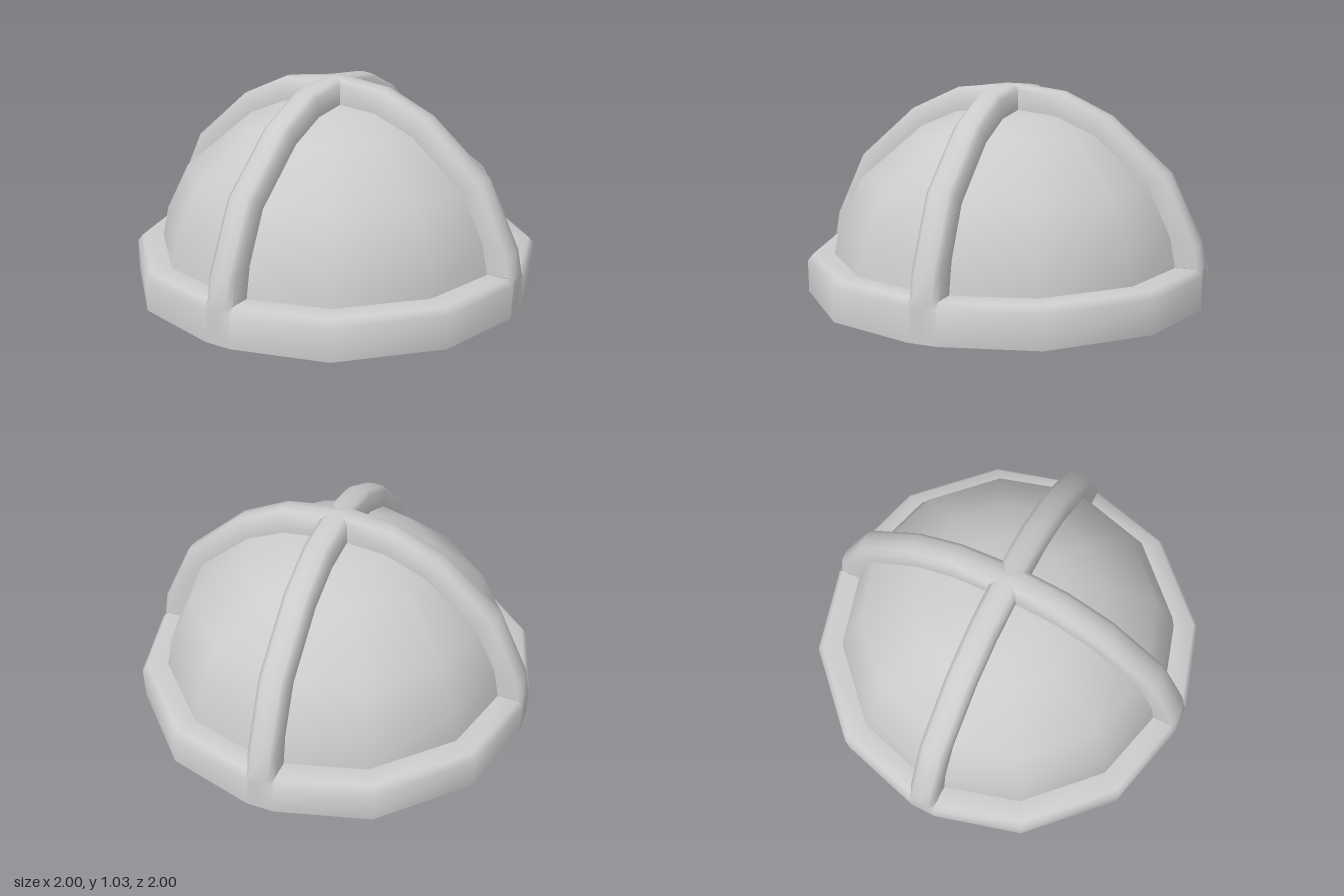
import * as THREE from 'three';
import { mergeGeometries, toCreasedNormals } from 'three/addons/utils/BufferGeometryUtils.js';

const HALF = 0.068; // half width of a rib

const material = new THREE.MeshStandardMaterial({ color: 0xcccccc, side: THREE.DoubleSide });

// Skin over rows of points: rows run upward, columns run rightward seen from outside
function grid(rows) {
  const n = rows[0].length;
  const index = [];
  for (let i = 0; i < rows.length - 1; i++) {
    for (let j = 0; j < n - 1; j++) {
      const a = i * n + j, c = a + n;
      index.push(a, a + 1, c + 1, a, c + 1, c);
    }
  }
  const geometry = new THREE.BufferGeometry();
  geometry.setAttribute('position', new THREE.Float32BufferAttribute(rows.flat(2), 3));
  geometry.setIndex(index);
  return geometry;
}

// Repeat a part four times around the vertical axis
function addFour(group, name, geometry) {
  const creased = toCreasedNormals(geometry, 1.0);
  for (let k = 0; k < 4; k++) {
    const mesh = new THREE.Mesh(creased, material);
    mesh.name = name + (k + 1);
    mesh.rotation.y = k * Math.PI / 2;
    group.add(mesh);
  }
}

// Quarter of a horizontal ring between two neighbouring ribs
const quarterRow = ([r, y]) => [
  [HALF, y, r], [0.508 * r, y, 0.88 * r], [0.88 * r, y, 0.508 * r], [r, y, HALF],
];

export function createModel() {
  const model = new THREE.Group();
  model.name = 'ribbedDome';

  // Profiles as [radius, height], from the rim to the crown
  const inner = [[0.87, 0.19], [0.84, 0.34], [0.73, 0.57], [0.46, 0.8], [0.26, 0.885], [HALF, 0.905]];
  const outer = [[1, 0.195], [0.98, 0.3], [0.82, 0.63], [0.52, 0.89], [0.28, 1.0], [0, 1.03]];
  const rim = [[1, 0], [1, 0.16], [0.974, 0.192], [0.87, 0.19]];

  // Dome panels, each narrowing to a point at the crown
  const panelRows = inner.map(quarterRow);
  panelRows[panelRows.length - 1] = Array.from({ length: 4 }, () => [HALF, 0.905, HALF]);
  addFour(model, 'domePanel', grid(panelRows));

  // Rim wall with its bevelled ledge
  addFour(model, 'rimSection', grid(rim.map(quarterRow)));

  // Hollow ribs: [sideways offset, blend from outer to inner profile]
  const section = [
    [-HALF, 1], [-HALF, 0.2], [-0.045, 0.04], [0, 0], [0.045, 0.04], [HALF, 0.2], [HALF, 1],
  ];
  const last = outer.length - 1;
  const ribRows = outer.map(([ro, yo], i) => section.map(([x, t]) => {
    const r = THREE.MathUtils.lerp(ro, inner[i][0], t);
    const y = THREE.MathUtils.lerp(yo, inner[i][1], t);
    // the final row is mitred so the four ribs join at the crown
    return [x, y, i === last ? Math.abs(x) : r];
  }));
  // Rib foot, flush with the rim wall
  const footRows = [0, 0.16].map((y) => section.slice(1, -1).map(([x]) => [x, y, 1]));
  footRows.push(ribRows[0].slice(1, -1));
  addFour(model, 'rib', mergeGeometries([grid(footRows), grid(ribRows)]));

  return model;
}
